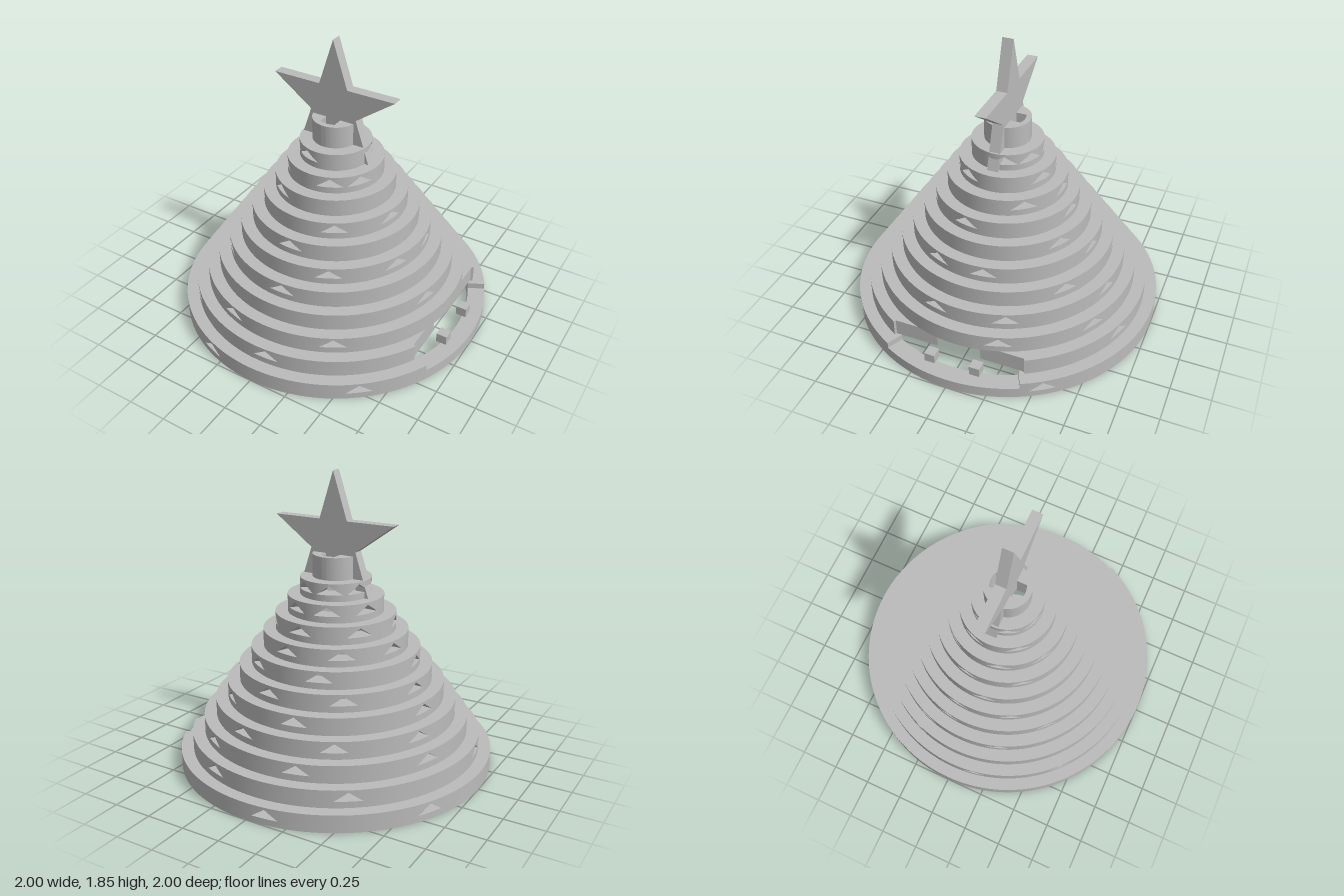
import * as THREE from 'three';
import { toCreasedNormals } from 'three/addons/utils/BufferGeometryUtils.js';

const RAD = Math.PI / 180;
const STEP = 0.1095;      // tier height
const WALL = 0.1095;      // wall thickness
const SHRINK = 0.0777;    // radius lost per tier
const CUT = { x: 0.8, floor: 0.07 }; // recess on the +x side

// hole directions per tier, degrees from +z toward +x
const HOLES = [
  [-19, 39, 124, 187, 243],
  [-43, 4, 160, 215, 280],
  [-17, 30, 108, 150, 195, 250],
  [-70, 77, 111, 165, 210, 250],
  [-44, 3, 142, 190, 260],
  [-64, 27, 68, 98, 170, 215, 262],
  [-82, 0, 148, 200],
  [-54, 30, 78, 170, 215, 260],
  [-74, -30, 127, 175, 233],
  [-53, 24, 60, 156, 200, 250],
  [-66, -20, 106, 150, 200, 250],
];

const wrap = (a) => ((a % 360) + 360) % 360;
const distance = (a, b) => Math.abs(wrap(a - b + 180) - 180);

// One ring-shaped tier, made of wedge cells that leave triangular holes open
function tierGeometry(index) {
  const y0 = index * STEP, y1 = y0 + STEP;
  const outer = 1 - index * SHRINK, inner = outer - WALL;
  const half = Math.asin(0.083 / outer) / RAD;
  const base = y0 + 0.04, rise = 0.056;
  const cutHalf = [26, 28][index] ?? 0;
  const positions = [];

  const quad = (a, b, c, d) => {
    for (const p of [a, b, c, a, c, d]) positions.push(...p);
  };
  const cell = (a, b, lowA, lowB, highA, highB, rA = outer, rB = outer) => {
    const point = (r, deg, y) => [r * Math.sin(deg * RAD), y, r * Math.cos(deg * RAD)];
    const oa = point(rA, a, lowA), ob = point(rB, b, lowB);
    const oB = point(rB, b, highB), oA = point(rA, a, highA);
    const ia = point(inner, a, lowA), ib = point(inner, b, lowB);
    const iB = point(inner, b, highB), iA = point(inner, a, highA);
    quad(oa, ob, oB, oA);
    quad(ib, ia, iA, iB);
    quad(oA, oB, iB, iA);
    quad(ia, ib, ob, oa);
    quad(ob, ib, iB, oB);
    quad(ia, oa, oA, iA);
  };

  // break the circle at regular steps, hole corners and recess ends
  const breaks = [];
  for (let a = 0; a <= 360; a += 3) breaks.push(a);
  for (const h of HOLES[index]) breaks.push(wrap(h - half), wrap(h), wrap(h + half));
  const through = Math.acos(Math.min(1, CUT.x / inner)) / RAD;
  if (cutHalf) for (const c of [cutHalf, through]) breaks.push(90 - c, 90 + c);
  breaks.sort((p, q) => p - q);

  for (let i = 0; i < breaks.length - 1; i++) {
    const a = breaks[i], b = breaks[i + 1], mid = (a + b) / 2;
    if (b - a < 1e-4) continue;
    const hole = HOLES[index].find((h) => distance(mid, h) < half);
    if (cutHalf && distance(mid, 90) < cutHalf) {
      // recess: low sill stays, thin skin stays behind the flat cut
      if (index === 0) cell(a, b, y0, y0, CUT.floor, CUT.floor);
      const low = index === 0 ? CUT.floor : y0;
      const reach = (deg) => Math.min(outer, CUT.x / Math.sin(deg * RAD));
      if (reach(mid) > inner) cell(a, b, low, low, y1, y1, reach(a), reach(b));
    } else if (hole !== undefined) {
      const top = (deg) => base + rise * Math.max(0, 1 - distance(deg, hole) / half);
      cell(a, b, y0, y0, base, base);
      cell(a, b, top(a), top(b), y1, y1);
    } else {
      cell(a, b, y0, y0, y1, y1);
    }
  }
  const geometry = new THREE.BufferGeometry();
  geometry.setAttribute('position', new THREE.Float32BufferAttribute(positions, 3));
  return toCreasedNormals(geometry, 0.5);
}

// Flat ring or slotted disc lying level, from bottom y upward
function levelExtrude(radius, hole, y, height) {
  const shape = new THREE.Shape().absarc(0, 0, radius, 0, Math.PI * 2);
  shape.holes.push(hole);
  const geometry = new THREE.ExtrudeGeometry(shape, { depth: height, bevelEnabled: false, curveSegments: 48 });
  geometry.rotateX(-Math.PI / 2).translate(0, y, 0);
  return toCreasedNormals(geometry, 0.5);
}

function starGeometry() {
  const points = [];
  for (let i = 0; i < 10; i++) {
    const r = i % 2 ? 0.164 : 0.432, a = Math.PI / 2 + (i * Math.PI) / 5;
    points.push(new THREE.Vector2(r * Math.cos(a), 1.422 + r * Math.sin(a)));
  }
  const geometry = new THREE.ExtrudeGeometry(new THREE.Shape(points), { depth: 0.07, bevelEnabled: false });
  return geometry.translate(0, 0, -0.035);
}

export function createModel() {
  const group = new THREE.Group();
  const grey = new THREE.MeshStandardMaterial({ color: 0xbbbbbb });
  grey.name = 'plain grey';
  const add = (name, geometry) => {
    const mesh = new THREE.Mesh(geometry, grey);
    mesh.name = name;
    group.add(mesh);
    return mesh;
  };

  // stepped hollow tree
  HOLES.forEach((_, i) => add(`tier${i + 1}`, tierGeometry(i)));

  // top tier with a slot through it
  const corner = Math.acos(0.05 / 0.11);
  const slot = new THREE.Path()
    .absarc(0, 0, 0.11, corner, Math.PI - corner)
    .absarc(0, 0, 0.11, Math.PI + corner, Math.PI * 2 - corner);
  add('topTier', levelExtrude(0.145, slot, 11 * STEP, 0.141));

  // star on top
  add('star', starGeometry());

  // small ring inside the hollow
  const bore = new THREE.Path().absarc(0, 0, 0.355, 0, Math.PI * 2);
  add('innerRing', levelExtrude(0.395, bore, 0.155, 0.04));

  // two small blocks on the recess sill
  for (const side of [-1, 1]) {
    add(side > 0 ? 'frontBlock' : 'backBlock', new THREE.BoxGeometry(0.067, 0.062, 0.067))
      .position.set(0.873, 0.1, side * 0.148);
  }
  return group;
}
